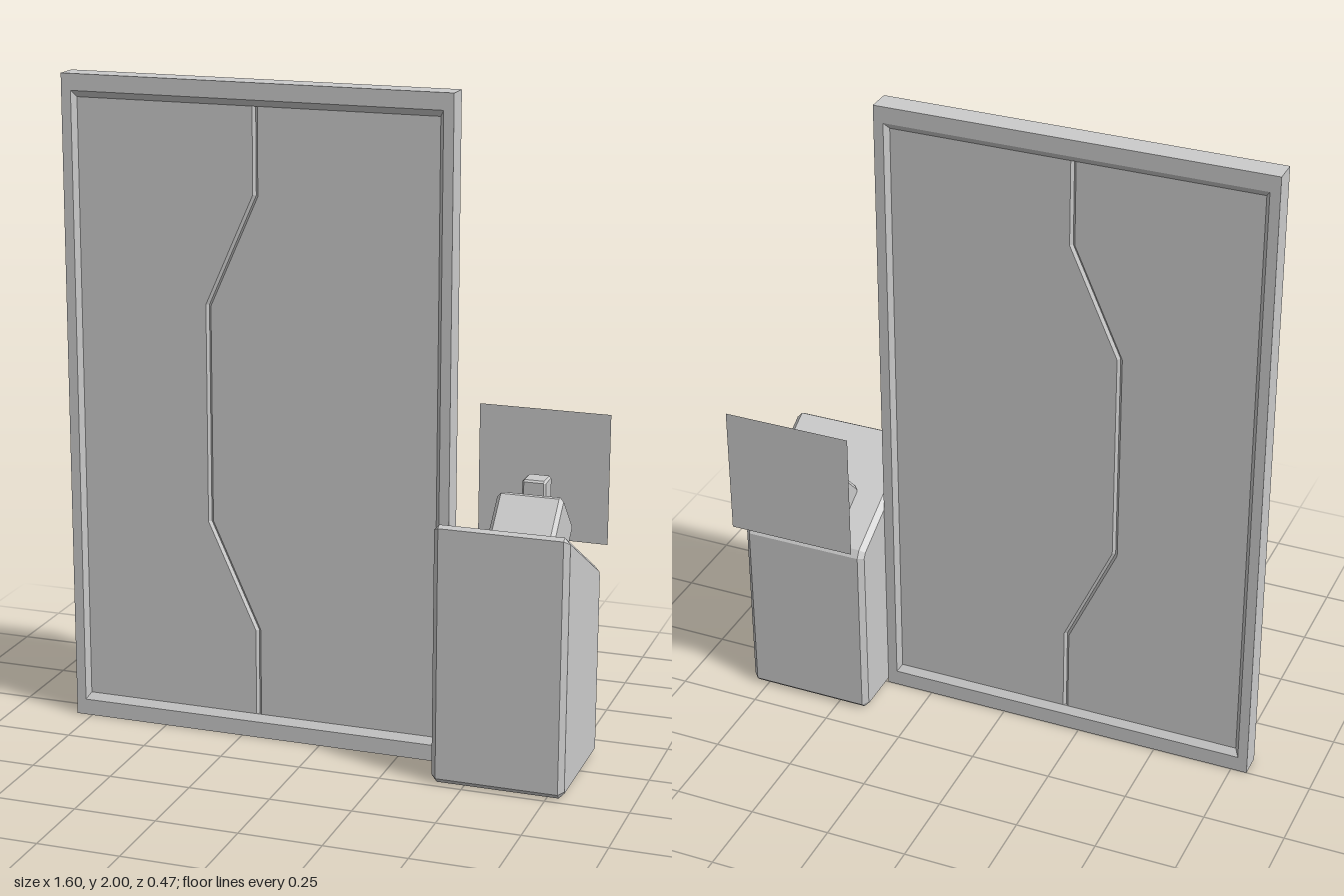
import * as THREE from 'three';

const material = new THREE.MeshStandardMaterial({ color: 0xcccccc, flatShading: true });

function add(group, name, geometry, mat = material) {
  const mesh = new THREE.Mesh(geometry, mat);
  mesh.name = name;
  group.add(mesh);
  return mesh;
}

// Extrudes an outline along z, with chamfered rims kept inside the given size.
function chamferedExtrude(points, depth, b) {
  const geometry = new THREE.ExtrudeGeometry(new THREE.Shape(points), {
    depth: depth - 2 * b, bevelEnabled: true, bevelSegments: 1,
    bevelSize: b, bevelThickness: b, bevelOffset: -b,
  });
  return geometry.translate(0, 0, b - depth / 2);
}

// Cuts every corner of a convex outline by the distance b.
function cutCorners(points, b) {
  return points.flatMap((p, i) => {
    const before = points[(i + points.length - 1) % points.length];
    const after = points[(i + 1) % points.length];
    return [before, after].map((q) =>
      p.clone().add(q.clone().sub(p).setLength(b)));
  });
}

// Solid with a (z, y) side outline, extruded along x, all edges chamfered.
function sideSolid(outline, width, b) {
  const points = outline.map(([z, y]) => new THREE.Vector2(z, y));
  return chamferedExtrude(cutCorners(points, b), width, b).rotateY(-Math.PI / 2);
}

function box(width, height, depth, b) {
  const z = depth / 2, y = height / 2;
  return sideSolid([[-z, -y], [z, -y], [z, y], [-z, y]], width, b);
}

// Rectangular ring: a closed profile of [inset x, inset y, z] swept round four corners.
function ringFrame(halfW, halfH, profile) {
  const corners = [[-1, -1], [1, -1], [1, 1], [-1, 1]];
  const at = (c, k) => {
    const [sx, sy] = corners[c % 4];
    const [ix, iy, z] = profile[k % profile.length];
    return [sx * (halfW - ix), sy * (halfH - iy), z];
  };
  const position = [];
  for (let c = 0; c < 4; c++) {
    for (let k = 0; k < profile.length; k++) {
      const a = at(c, k), b = at(c + 1, k), d = at(c + 1, k + 1), e = at(c, k + 1);
      position.push(...a, ...b, ...d, ...a, ...d, ...e);
    }
  }
  const geometry = new THREE.BufferGeometry();
  geometry.setAttribute('position', new THREE.Float32BufferAttribute(position, 3));
  geometry.computeVertexNormals();
  return geometry;
}

function createDoor() {
  const door = new THREE.Group();
  door.name = 'door';

  // Frame with sloped inner lips on both faces
  const frame = ringFrame(0.6, 1, [
    [0, 0, 0], [0, 0, 0.074], [0.03, 0.05, 0.074],
    [0.043, 0.07, 0.058], [0.043, 0.07, 0.016], [0.03, 0.05, 0],
  ]);
  add(door, 'doorFrame', frame).position.set(-0.2, 1, 0);

  // Two sliding leaves meeting along a stepped seam
  const seam = [[-0.2, 0.04], [-0.2, 0.34], [-0.35, 0.67], [-0.35, 1.335], [-0.2, 1.67], [-0.2, 1.96]];
  const leaves = [['rightDoorLeaf', -0.775], ['leftDoorLeaf', 0.375]];
  for (const [name, edge] of leaves) {
    const outline = [...seam, [edge, 1.96], [edge, 0.04]].map(([x, y]) => new THREE.Vector2(x, y));
    add(door, name, chamferedExtrude(outline, 0.042, 0.008)).position.z = 0.037;
  }
  return door;
}

function createConsole() {
  const console = new THREE.Group();
  console.name = 'console';
  console.position.x = 0.6;

  // Pedestal with a top sloping down to the back
  add(console, 'pedestal', sideSolid(
    [[-0.163, 0], [0.234, 0], [0.234, 0.797], [-0.163, 0.582]], 0.4, 0.016));

  // Tilted projector block with a small emitter on it
  const projector = add(console, 'projector', box(0.2, 0.181, 0.181, 0.012));
  projector.position.set(0, 0.686, -0.088);
  projector.rotation.x = Math.PI / 4;
  add(console, 'emitter', box(0.072, 0.15, 0.072, 0.006)).position.set(0, 0.766, -0.156);

  // Thin floating screen
  const screenMaterial = material.clone();
  screenMaterial.side = THREE.DoubleSide;
  add(console, 'screen', new THREE.PlaneGeometry(0.4, 0.4), screenMaterial).position.set(0, 0.83, -0.234);
  return console;
}

export function createModel() {
  const model = new THREE.Group();
  model.name = 'doorWithConsole';
  model.add(createDoor(), createConsole());
  return model;
}
